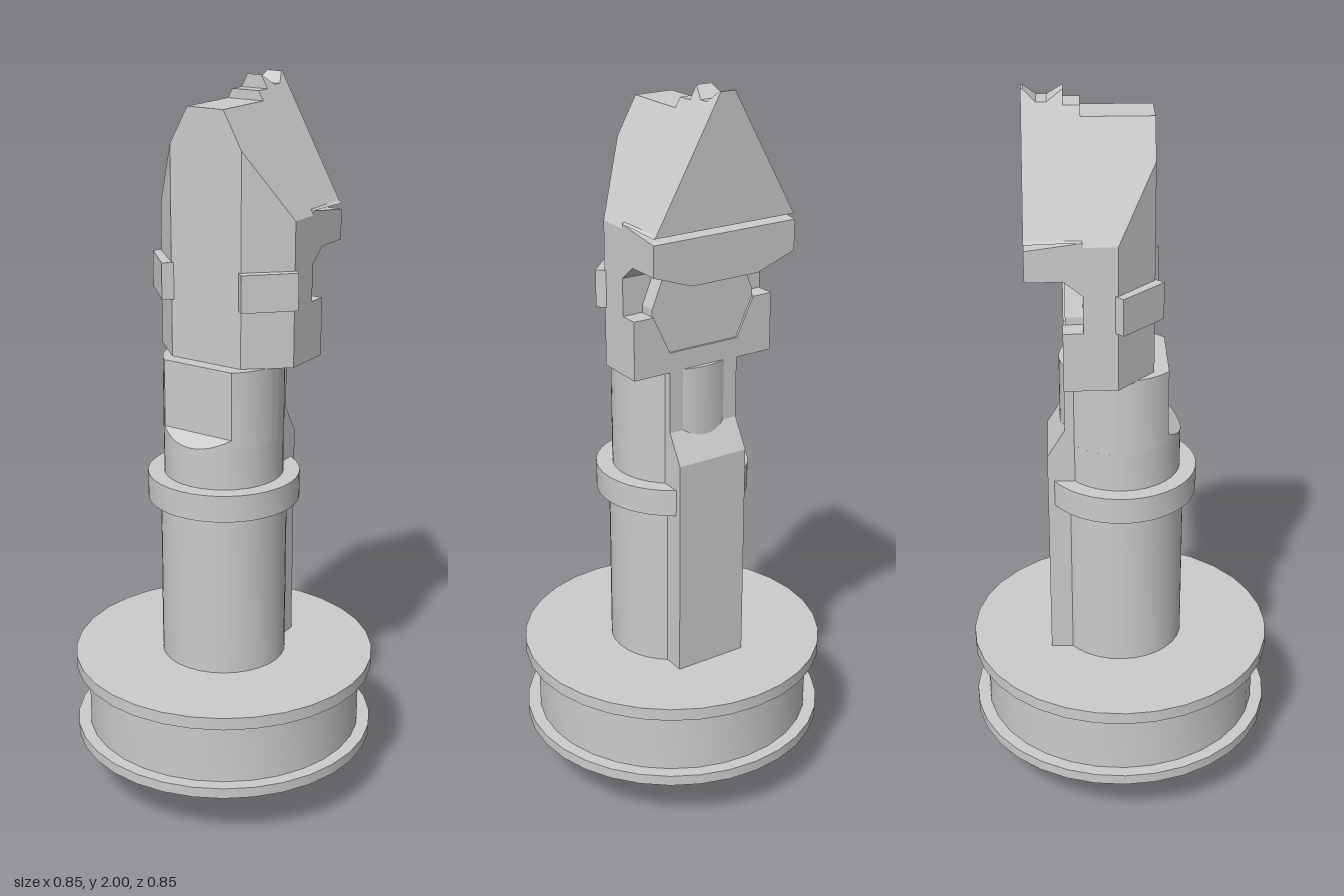
import * as THREE from 'three';
import { toCreasedNormals } from 'three/addons/utils/BufferGeometryUtils.js';

export function createModel() {
  const model = new THREE.Group();
  const grey = new THREE.MeshStandardMaterial({ color: 0xcccccc });

  const add = (name, geometry) => {
    const mesh = new THREE.Mesh(geometry, grey);
    mesh.name = name;
    model.add(mesh);
    return mesh;
  };

  // Turned part from [radius, y] points, with sharp rims
  const turned = (points, start = 0, sweep = Math.PI * 2, sides = 32) =>
    toCreasedNormals(new THREE.LatheGeometry(
      points.map(p => new THREE.Vector2(...p)), sides, start, sweep), 0.5);

  // Upright slab from a plan shape (shape y becomes z)
  const slab = (shape, y0, y1) => new THREE.ExtrudeGeometry(shape,
    { depth: y1 - y0, bevelEnabled: false, curveSegments: 24 })
    .rotateX(Math.PI / 2).translate(0, y1, 0);

  // Flat-faced loft, front to back: each section is [z, right-half points from bottom to top]
  const loft = sections => {
    const rings = sections.map(([z, half]) =>
      [...half, ...half.map(([x, y]) => [-x, y]).reverse()].map(([x, y]) => new THREE.Vector3(x, y, z)));
    const out = [];
    const tri = (...vs) => vs.forEach(v => out.push(v.x, v.y, v.z));
    for (let s = 0; s + 1 < rings.length; s++) {
      const f = rings[s], b = rings[s + 1], n = f.length;
      for (let i = 0; i < n; i++) {
        const j = (i + 1) % n;
        tri(f[i], b[i], b[j]);
        tri(f[i], b[j], f[j]);
      }
    }
    const cap = (ring, back) => THREE.ShapeUtils.triangulateShape(
      ring.map(v => new THREE.Vector2(v.x, v.y)), [])
      .forEach(([a, b, c]) => back ? tri(ring[a], ring[c], ring[b]) : tri(ring[a], ring[b], ring[c]));
    cap(rings[0], false);
    cap(rings[rings.length - 1], true);
    const g = new THREE.BufferGeometry();
    g.setAttribute('position', new THREE.Float32BufferAttribute(out, 3));
    g.computeVertexNormals();
    return g;
  };

  // Base: stem, small disc and flanged drum
  add('base', turned([[0, 0], [0.085, 0], [0.085, 0.1], [0.255, 0.1], [0.255, 0.155],
    [0.425, 0.155], [0.425, 0.185], [0.39, 0.185], [0.39, 0.365], [0.425, 0.365],
    [0.425, 0.4], [0, 0.4]]));

  // Column, with a collar left open behind for the spine
  add('column', turned([[0.175, 0.4], [0.175, 0.9], [0.165, 0.9], [0.165, 1.055], [0, 1.055]]));
  add('collar', turned([[0.15, 0.87], [0.21, 0.87], [0.21, 0.945], [0.15, 0.945]],
    -Math.PI * 5 / 6, Math.PI * 5 / 3));

  // Neck with a flat front, and the sloping ledge below the flat
  const r = 0.165, flat = 0.125, a = Math.asin(flat / r);
  const neckPlan = new THREE.Shape().absarc(0, 0, r, Math.PI - a, Math.PI * 2 + a, false);
  add('neck', toCreasedNormals(slab(neckPlan, 1.055, 1.272), 0.5));
  const ledgePlan = new THREE.Shape().absarc(0, 0, r, a, Math.PI - a, false);
  const ledge = slab(ledgePlan, 1.055, 1.085);
  const pos = ledge.attributes.position;
  for (let i = 0; i < pos.count; i++) {
    if (pos.getY(i) > 1.07) pos.setY(i, 1.085 - (pos.getZ(i) - flat) * 0.75);
  }
  add('neckLedge', toCreasedNormals(ledge, 0.5));

  // Spine up the back: side profile in (-z, y), turned to face sideways
  const spineShape = new THREE.Shape([[0.1, 0.4], [0.2, 0.4], [0.2, 1.02],
    [0.152, 1.1], [0.152, 1.272], [0.1, 1.272]].map(p => new THREE.Vector2(...p)));
  add('spine', new THREE.ExtrudeGeometry(spineShape, { depth: 0.21, bevelEnabled: false })
    .translate(0, 0, -0.105).rotateY(Math.PI / 2));

  // Head: bevelled front, pitched roof with a notched ridge, overhanging behind
  const W = 0.213, roofX = y => W - (y - 1.66) * 0.564;
  const front = (x, low, mid) => [[x, low], [x, mid], [roofX(1.94), 1.94]];
  const roof = (low, top) => [[W, low], [roofX(1.675), 1.675], [roofX(top), top]];
  add('head', loft([
    [0.085, front(0.11, 1.27, 1.842)],
    [-0.012, front(W, 1.27, 1.66)],
    [-0.1, front(W, 1.27, 1.66)],
    [-0.1, roof(1.672, 1.965)],
    [-0.142, roof(1.671, 1.965)],
    [-0.142, roof(1.671, 2)],
    [-0.182, roof(1.67, 1.972)],
    [-0.208, roof(1.669, 1.972)],
    [-0.24, roof(1.668, 2)],
    [-0.245, roof(1.668, 2)],
  ]));

  // Lip under the roof, separated by a thin tapering groove
  const lip = (side, top) => [[0.1, 1.53], [W, side], [W, top]];
  add('rearLip', loft([[-0.1, lip(1.531, 1.672)], [-0.148, lip(1.57, 1.665)], [-0.245, lip(1.57, 1.652)]]));

  // Rear shoulders with a hexagonal plug set between them
  const prism = (z, half) => loft([[-0.09, half], [z, half]]);
  add('rearShoulders', prism(-0.152, [[W, 1.27], [W, 1.43], [0.155, 1.43], [0.105, 1.325]]));
  add('rearPlug', prism(-0.146, [[0.105, 1.325], [0.155, 1.42], [0.155, 1.45], [0.12, 1.535]]));

  // Plates on the angled cheeks
  for (const s of [1, -1]) {
    const plate = add(s > 0 ? 'leftCheekPlate' : 'rightCheekPlate',
      new THREE.BoxGeometry(0.152, 0.1, 0.04));
    plate.position.set(s * 0.165, 1.48, 0.04);
    plate.rotation.y = s * Math.PI / 4;
  }

  return model;
}
